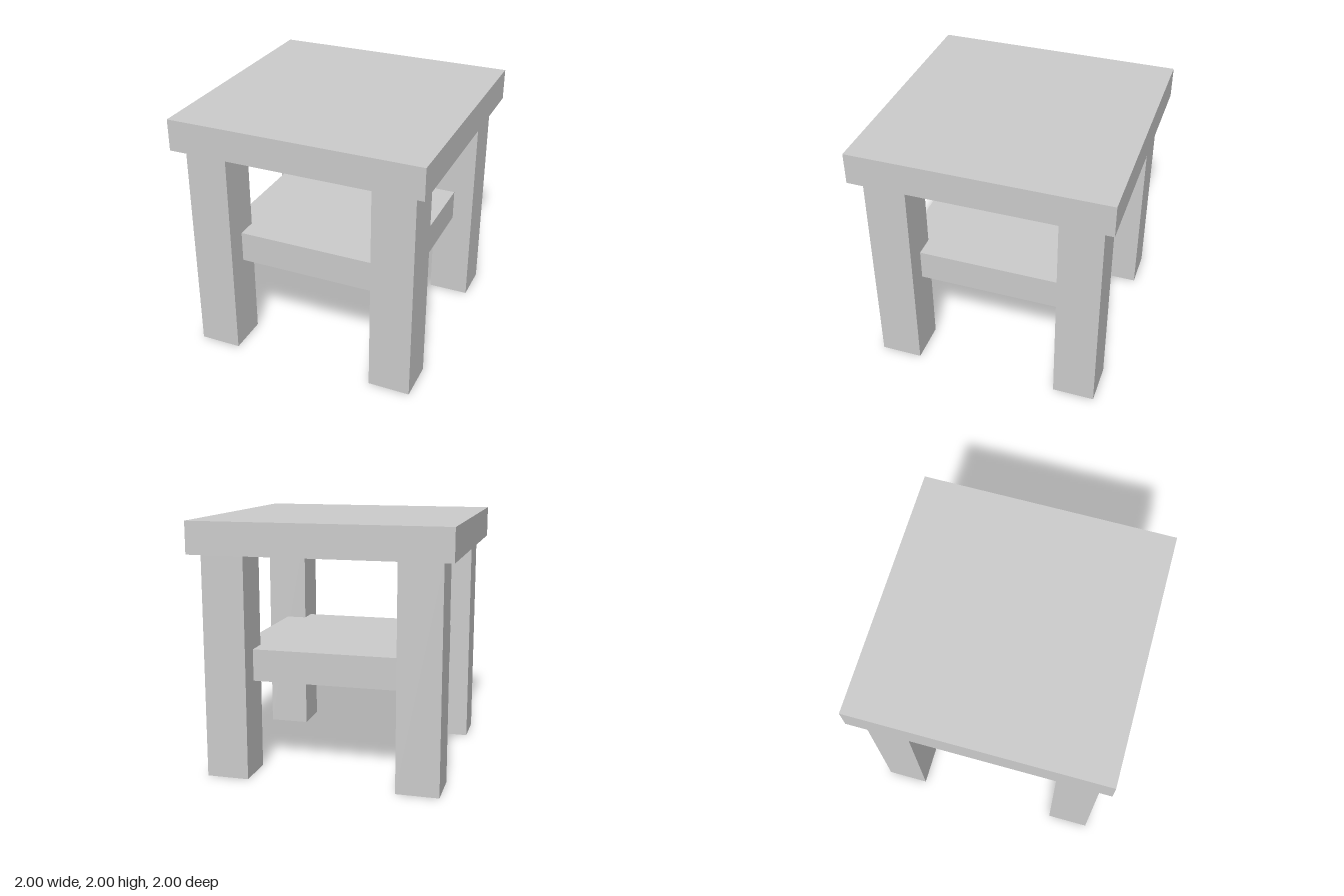
import * as THREE from 'three';

const material = new THREE.MeshStandardMaterial({ color: 0xcccccc, flatShading: true });

// Box standing on the given base height
function addBox(parent, name, [w, h, d], [x, base, z]) {
  const mesh = new THREE.Mesh(new THREE.BoxGeometry(w, h, d), material);
  mesh.name = name;
  mesh.position.set(x, base + h / 2, z);
  parent.add(mesh);
}

export function createModel() {
  const table = new THREE.Group();
  table.name = 'sideTable';

  const thickness = 0.25;
  const topBase = 2 - thickness;
  const legWidth = 1 / 3;
  const legOffset = 0.75;

  // Table top
  addBox(table, 'tableTop', [2, thickness, 2], [0, topBase, 0]);

  // Lower shelf, its corners let into the middle of each leg
  addBox(table, 'shelf', [2 * legOffset, thickness, 2 * legOffset], [0, 0.75, 0]);

  // Four square legs
  for (const [side, sx] of [['Left', 1], ['Right', -1]]) {
    for (const [end, sz] of [['front', 1], ['back', -1]]) {
      addBox(table, `${end}${side}Leg`, [legWidth, topBase, legWidth], [sx * legOffset, 0, sz * legOffset]);
    }
  }

  return table;
}
